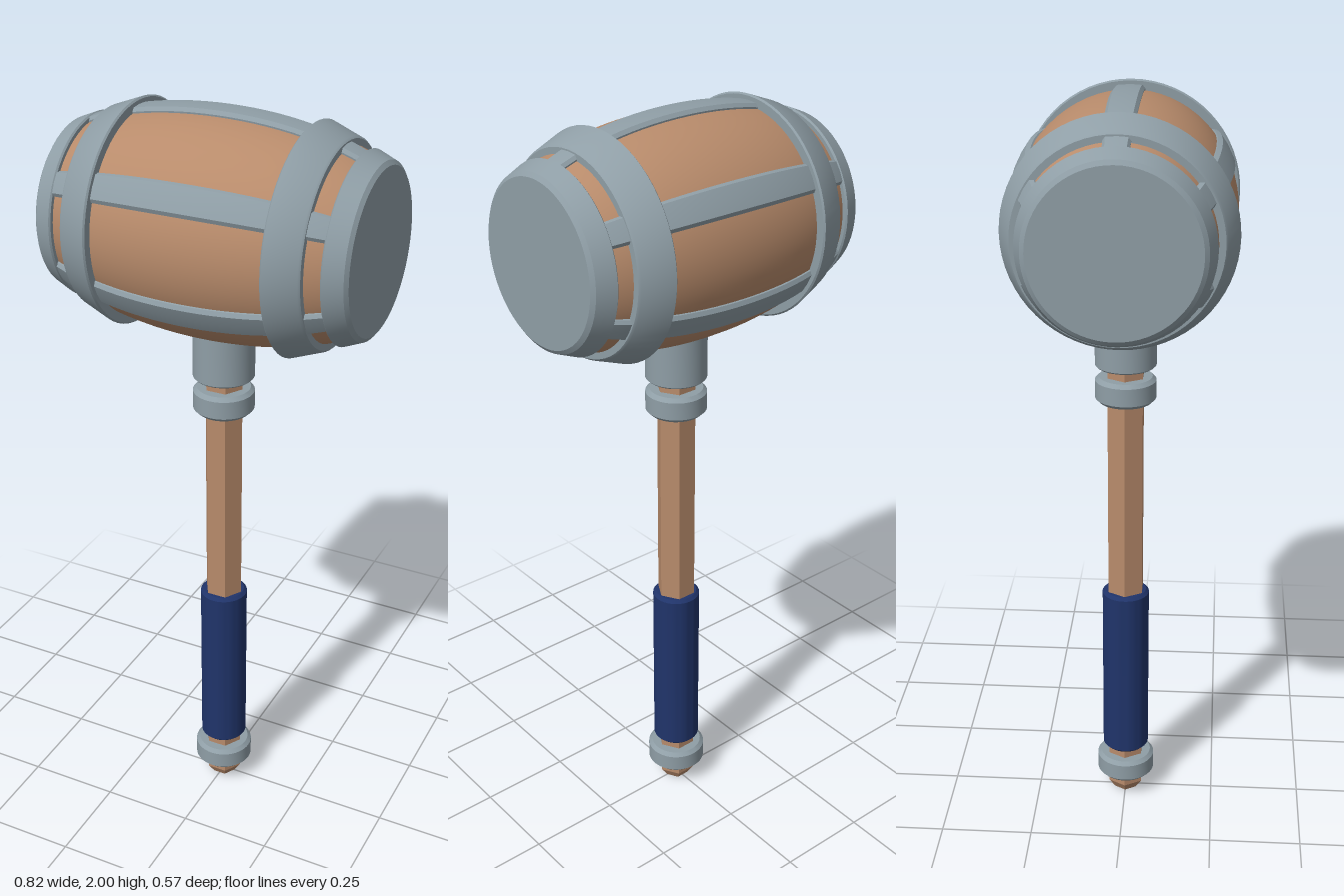
import * as THREE from 'three';
import { toCreasedNormals } from 'three/addons/utils/BufferGeometryUtils.js';

const HEAD_Y = 1.71;
const material = (name, color) => {
  const m = new THREE.MeshStandardMaterial({ color });
  m.name = name;
  return m;
};

// Turned part from [radius, height] pairs listed bottom to top, with crisp edges
function turned(name, points, mat, sides = 48) {
  const lathe = new THREE.LatheGeometry(points.map(([r, y]) => new THREE.Vector2(r, y)), sides);
  const mesh = new THREE.Mesh(toCreasedNormals(lathe, 0.45), mat);
  mesh.name = name;
  return mesh;
}

// Cylinder with small chamfers at both ends
const chamfered = (name, r, y0, y1, c, mat) =>
  turned(name, [[0, y0], [r - c, y0], [r, y0 + c], [r, y1 - c], [r - c, y1], [0, y1]], mat);

// Bulging barrel radius at distance x from the middle
const barrelRadius = (x) => 0.279 - 0.4 * x * x - 0.8 * x ** 4;

// Curved strap following the barrel along its axis (local y)
function strapGeometry() {
  const section = [[-0.138, -0.01], [-0.138, 0.004], [-0.108, 0.012], [0, 0.0125],
    [0.108, 0.012], [0.138, 0.004], [0.138, -0.01]];
  const steps = 24, n = section.length, pos = [], index = [];
  for (let i = 0; i <= steps; i++) {
    const y = -0.38 + (0.76 * i) / steps;
    for (const [a, lift] of section) {
      const r = barrelRadius(y) + lift;
      pos.push(r * Math.sin(a), y, r * Math.cos(a));
    }
  }
  for (let i = 0; i < steps; i++) {
    for (let j = 0; j < n - 1; j++) {
      const a = i * n + j, b = a + 1, c = a + n, d = c + 1;
      index.push(a, b, d, a, d, c);
    }
  }
  const g = new THREE.BufferGeometry();
  g.setAttribute('position', new THREE.Float32BufferAttribute(pos, 3));
  g.setIndex(index);
  return toCreasedNormals(g, 0.2);
}

export function createModel() {
  const wood = material('wood', 0xb88b6b);
  const metal = material('metal', 0x8f9ea6);
  const cloth = material('blue grip', 0x20346a);
  const model = new THREE.Group();
  model.name = 'mallet';

  // Barrel head, built along y and then laid along x
  const head = new THREE.Group();
  head.name = 'head';
  head.position.y = HEAD_Y;
  head.rotation.z = -Math.PI / 2;
  model.add(head);

  const profile = [];
  for (let i = 0; i <= 24; i++) {
    const y = -0.38 + (0.76 * i) / 24;
    profile.push([barrelRadius(y), y]);
  }
  head.add(turned('barrel', profile, wood, 64));

  // Six straps around the barrel, one of them on top
  const strapGeo = strapGeometry();
  for (let i = 0; i < 6; i++) {
    const strap = new THREE.Mesh(strapGeo, metal);
    strap.name = 'strap';
    strap.rotation.y = Math.PI / 2 + (i * Math.PI) / 3;
    head.add(strap);
  }

  // Hoop and end cap, mirrored to both ends
  for (const side of [0, 1]) {
    const end = new THREE.Group();
    end.name = side ? 'rightEnd' : 'leftEnd';
    end.rotation.x = side * Math.PI;
    end.add(turned('hoop', [[0.22, 0.225], [0.279, 0.225], [0.283, 0.229],
      [0.254, 0.306], [0.249, 0.311], [0.21, 0.311]], metal, 64));
    end.add(turned('endCap', [[0.17, 0.35], [0.228, 0.35], [0.232, 0.354],
      [0.213, 0.4], [0.202, 0.408], [0, 0.408]], metal, 64));
    head.add(end);
  }

  // Hexagonal shaft with a tapered foot
  const shaft = turned('shaft', [[0, 0], [0.034, 0], [0.053, 0.028], [0.053, 1.4], [0, 1.4]], wood, 6);
  shaft.rotation.y = Math.PI / 2;
  model.add(shaft);

  // Grip, collars and head socket
  model.add(chamfered('grip', 0.064, 0.148, 0.652, 0.008, cloth));
  model.add(chamfered('lowerCollar', 0.08, 0.058, 0.124, 0.01, metal));
  model.add(chamfered('upperCollar', 0.08, 1.21, 1.278, 0.01, metal));
  model.add(chamfered('socket', 0.08, 1.307, 1.445, 0.004, metal));
  return model;
}
